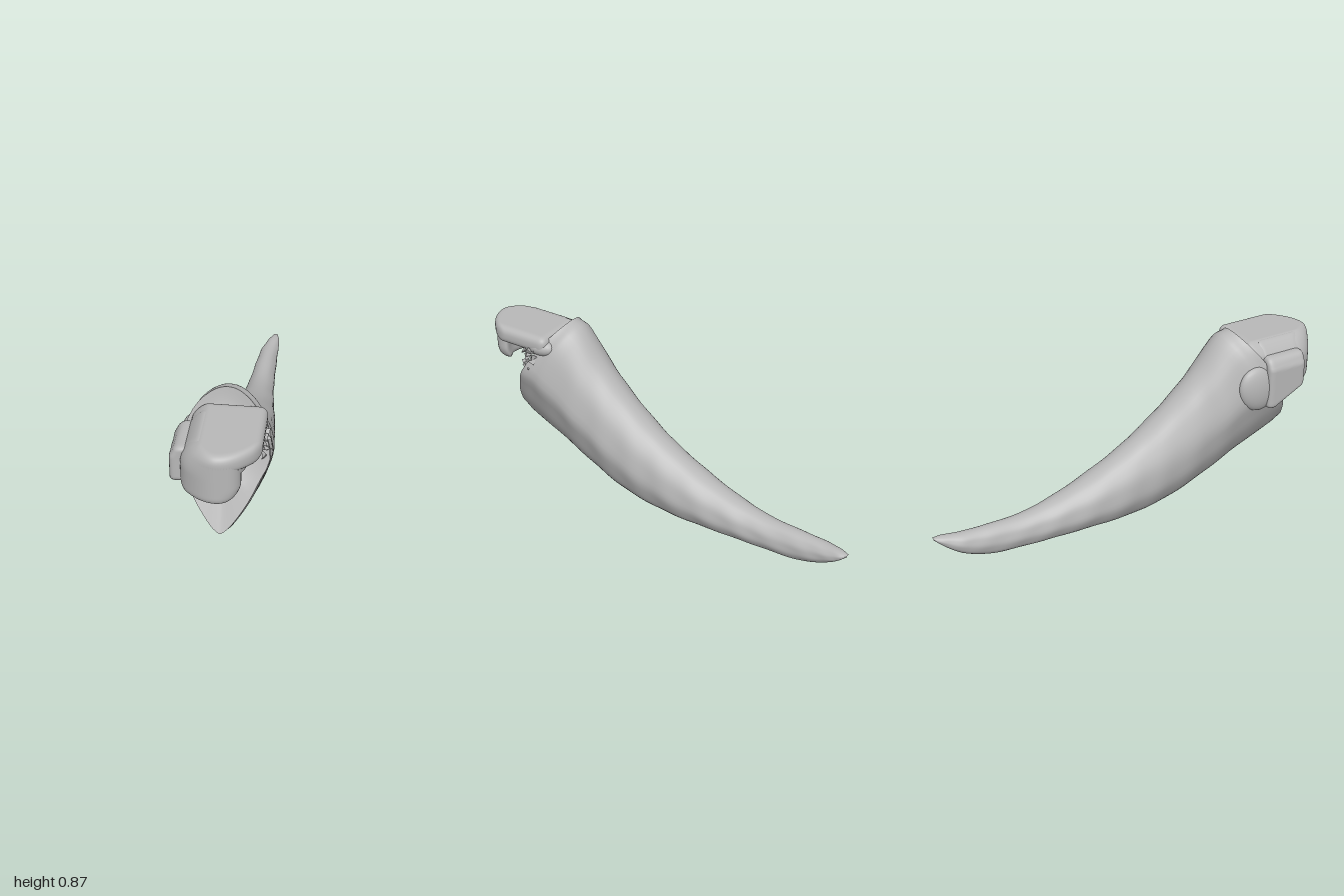
import * as THREE from 'three';
import { mergeVertices } from 'three/addons/utils/BufferGeometryUtils.js';

const SIDES = 48;
const ROWS = 96;

// Horn stations, mouth to tip: bottom z, bottom y, top z, top y, centre x, half width, keel sharpness
const STATIONS = [
  [0.87, 0.32, 0.56, 0.87, 0.0, 0.195, 1],
  [0.8, 0.28, 0.5, 0.845, 0.005, 0.193, 0.9],
  [0.62, 0.21, 0.38, 0.7, 0.01, 0.177, 0.7],
  [0.42, 0.12, 0.26, 0.58, 0.015, 0.16, 0.45],
  [0.22, 0.045, 0.1, 0.45, 0.02, 0.147, 0.25],
  [0.02, 0.008, -0.04, 0.36, 0.022, 0.13, 0.1],
  [-0.2, 0.003, -0.22, 0.27, 0.025, 0.113, 0],
  [-0.4, 0.003, -0.4, 0.205, 0.027, 0.09, 0],
  [-0.57, 0.004, -0.56, 0.17, 0.03, 0.07, 0],
  [-0.75, 0.015, -0.74, 0.163, 0.036, 0.058, 0],
  [-0.88, 0.06, -0.87, 0.162, 0.045, 0.048, 0],
  [-0.96, 0.115, -0.96, 0.164, 0.063, 0.03, 0],
  [-1, 0.153, -1, 0.16, 0.07, 0.01, 0],
];

const track = (f) => new THREE.CatmullRomCurve3(STATIONS.map((s) => new THREE.Vector3(...f(s))));
const bottomLine = track((s) => [0, s[1], s[0]]);
const topLine = track((s) => [0, s[3], s[2]]);
const sizeLine = track((s) => [s[4], s[5], s[6]]);

// Point on the horn surface: t runs mouth to tip, a runs around the section
function hornPoint(t, a) {
  const out = bottomLine.getPoint(t);
  const size = sizeLine.getPoint(t);
  const v = Math.sin(a);
  const round = Math.abs(Math.cos(a));
  const keeled = Math.min(round, 0.95 * Math.pow(Math.max(0, 1 + v), 0.7));
  const w = THREE.MathUtils.lerp(round, keeled, THREE.MathUtils.clamp(size.z, 0, 1));
  // Gentle growth rings and long grooves
  const ripple = 1 + 0.02 * Math.sin(t * 75 + v * 3) + 0.012 * Math.sin(a * 9 + t * 6);
  out.lerp(topLine.getPoint(t), (v + 1) / 2);
  out.x = size.x + size.y * w * ripple * Math.sign(Math.cos(a));
  out.z += 0.035 * (1 - v * v) * Math.max(0, 1 - t * 8);
  return out;
}

// Surface made of closed rings; reverse flips the facing
function ringSurface(rows, pointAt, reverse) {
  const pos = [];
  const index = [];
  for (let i = 0; i <= rows; i++) {
    for (let j = 0; j < SIDES; j++) {
      pos.push(...pointAt(i / rows, (j / SIDES) * Math.PI * 2).toArray());
      if (i === rows) continue;
      const a = i * SIDES + j;
      const b = i * SIDES + ((j + 1) % SIDES);
      const c = a + SIDES;
      const d = b + SIDES;
      if (reverse) index.push(a, b, c, b, d, c);
      else index.push(a, c, b, b, c, d);
    }
  }
  const g = new THREE.BufferGeometry();
  g.setAttribute('position', new THREE.Float32BufferAttribute(pos, 3));
  g.setIndex(index);
  g.computeVertexNormals();
  return g;
}

// Finely divided rounded box between two corners, its vertices moved by a rule
function softBox(min, max, radius, warp) {
  const lo = new THREE.Vector3(...min);
  const hi = new THREE.Vector3(...max);
  const size = hi.clone().sub(lo);
  const mid = lo.clone().add(hi).multiplyScalar(0.5);
  const cuts = size.toArray().map((l) => Math.max(8, Math.round(l / 0.011)));
  let g = new THREE.BoxGeometry(...size.toArray(), ...cuts);
  g.translate(...mid.toArray());
  g.deleteAttribute('normal');
  g.deleteAttribute('uv');
  g = mergeVertices(g, 1e-4);
  lo.addScalar(radius);
  hi.addScalar(-radius);
  const pos = g.attributes.position;
  const v = new THREE.Vector3();
  for (let i = 0; i < pos.count; i++) {
    v.fromBufferAttribute(pos, i);
    const core = v.clone().clamp(lo, hi);
    v.sub(core).setLength(radius).add(core);
    warp(v);
    pos.setXYZ(i, v.x, v.y, v.z);
  }
  g.computeVertexNormals();
  return g;
}

// Round the clasp in plan, at its upper right shoulder and lower left corner
function claspWarp(v) {
  const front = THREE.MathUtils.clamp((v.z - 0.68) / 0.25, 0, 1);
  v.z -= 0.1 * front * (v.x / 0.16) ** 2;
  if (v.x < 0) v.x += 0.07 * (Math.max(0, v.y - 0.7) / 0.12) ** 2 * (-v.x / 0.16);
  else if (v.y < 0.66) v.x -= 0.04 * ((0.66 - v.y) / 0.08) ** 2 * (v.x / 0.1);
}

export function createModel() {
  const model = new THREE.Group();
  model.name = 'curvedHorn';
  const grey = new THREE.MeshStandardMaterial({ color: 0xb8b8b8 });
  grey.name = 'plain grey';
  const add = (name, geometry, x = 0, y = 0, z = 0) => {
    const mesh = new THREE.Mesh(geometry, grey);
    mesh.name = name;
    mesh.position.set(x, y, z);
    model.add(mesh);
    return mesh;
  };

  // Tapering horn body
  add('hornBody', ringSurface(ROWS, hornPoint, false));

  // Slightly hollowed mouth face, deeper above the step
  const centre = new THREE.Vector3(0, 0.62, 0.7);
  add('mouthFace', ringSurface(10, (t, a) => {
    const p = hornPoint(0, a).lerp(centre, t);
    p.z -= 0.03 * Math.sin(t * Math.PI) * THREE.MathUtils.smoothstep(p.y, 0.52, 0.57);
    return p;
  }, true));

  // Hollow clasp: roof, front flap and one side wall
  add('claspRoof', softBox([-0.16, 0.735, 0.6], [0.178, 0.822, 1], 0.035, claspWarp));
  add('claspFront', softBox([-0.16, 0.578, 0.925], [0.098, 0.82, 1], 0.033, claspWarp));
  add('claspWall', softBox([-0.162, 0.578, 0.66], [-0.12, 0.82, 0.97], 0.018, claspWarp));

  // Fillet where the front flap sweeps into the overhanging roof
  add('claspFillet', softBox([0.05, 0.69, 0.91], [0.125, 0.8, 0.985], 0.034, (v) => {
    claspWarp(v);
    v.x += 0.25 * (v.y - 0.745);
  }));

  // Side plate on the right, its lower edge rising forward
  add('sidePlate', softBox([-0.21, 0.5, 0.66], [-0.14, 0.765, 0.87], 0.025, (v) => {
    const low = (0.765 - v.y) / 0.265;
    v.y += low * Math.max(0, v.z - 0.7) * 0.55;
    v.x += Math.max(0, v.y - 0.71) * 0.5;
  }));

  // Swelling of the horn wall behind the plate
  const swelling = add('sideSwelling', new THREE.SphereGeometry(1, 24, 16), -0.16, 0.61, 0.62);
  swelling.scale.set(0.042, 0.12, 0.1);
  swelling.rotation.x = -0.4;

  // Ragged chips where the roof meets the horn
  const chip = new THREE.TetrahedronGeometry(0.024);
  for (let i = 0; i < 14; i++) {
    const m = add('raggedChip', chip, 0.172 + 0.013 * Math.sin(i * 2.3), 0.645 + 0.0085 * i, 0.69 + 0.03 * Math.cos(i * 1.7));
    m.rotation.set(i * 1.3, i * 0.7, i * 2.1);
    m.scale.set(0.7, 1.1, 0.9);
  }

  // Join between roof and horn
  const join = add('roofJoin', new THREE.SphereGeometry(1, 20, 14), 0.13, 0.76, 0.65);
  join.scale.set(0.05, 0.045, 0.08);

  return model;
}
